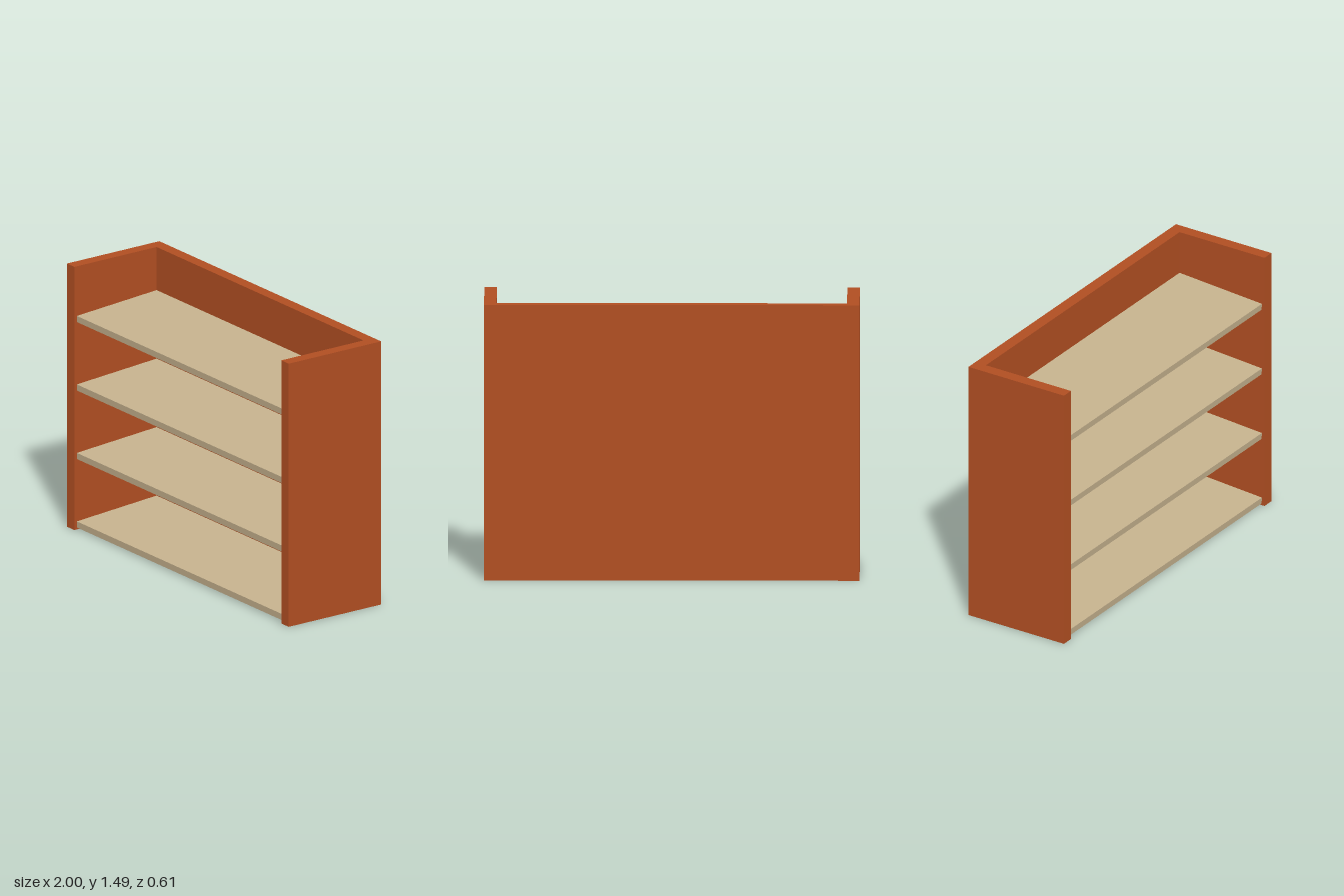
import * as THREE from 'three';

export function createModel() {
  const model = new THREE.Group();
  model.name = 'bookcase';

  const wood = new THREE.MeshStandardMaterial({ color: 0xb04e22 });
  wood.name = 'red brown wood';
  const board = new THREE.MeshStandardMaterial({ color: 0xc5b18d });
  board.name = 'pale tan board';

  const width = 2, height = 1.485, depth = 0.61, wall = 0.067;
  const inner = width - 2 * wall;

  function addBox(name, material, size, position) {
    const mesh = new THREE.Mesh(new THREE.BoxGeometry(...size), material);
    mesh.name = name;
    mesh.position.set(...position);
    model.add(mesh);
    return mesh;
  }

  // Upright side panels
  for (const [name, side] of [['leftPanel', 1], ['rightPanel', -1]]) {
    addBox(name, wood, [wall, height, depth], [side * (width - wall) / 2, height / 2, 0]);
  }

  // Back panel fitted between the sides
  addBox('backPanel', wood, [inner, height, wall], [0, height / 2, (wall - depth) / 2]);

  // Four display shelves, tilted down toward the front
  for (let i = 0; i < 4; i++) {
    const shelf = addBox('shelf' + (i + 1), board, [inner, 0.036, 0.534], [0, 0.046 + i * 0.3865, 0.021]);
    shelf.rotation.x = THREE.MathUtils.degToRad(4);
  }

  return model;
}
